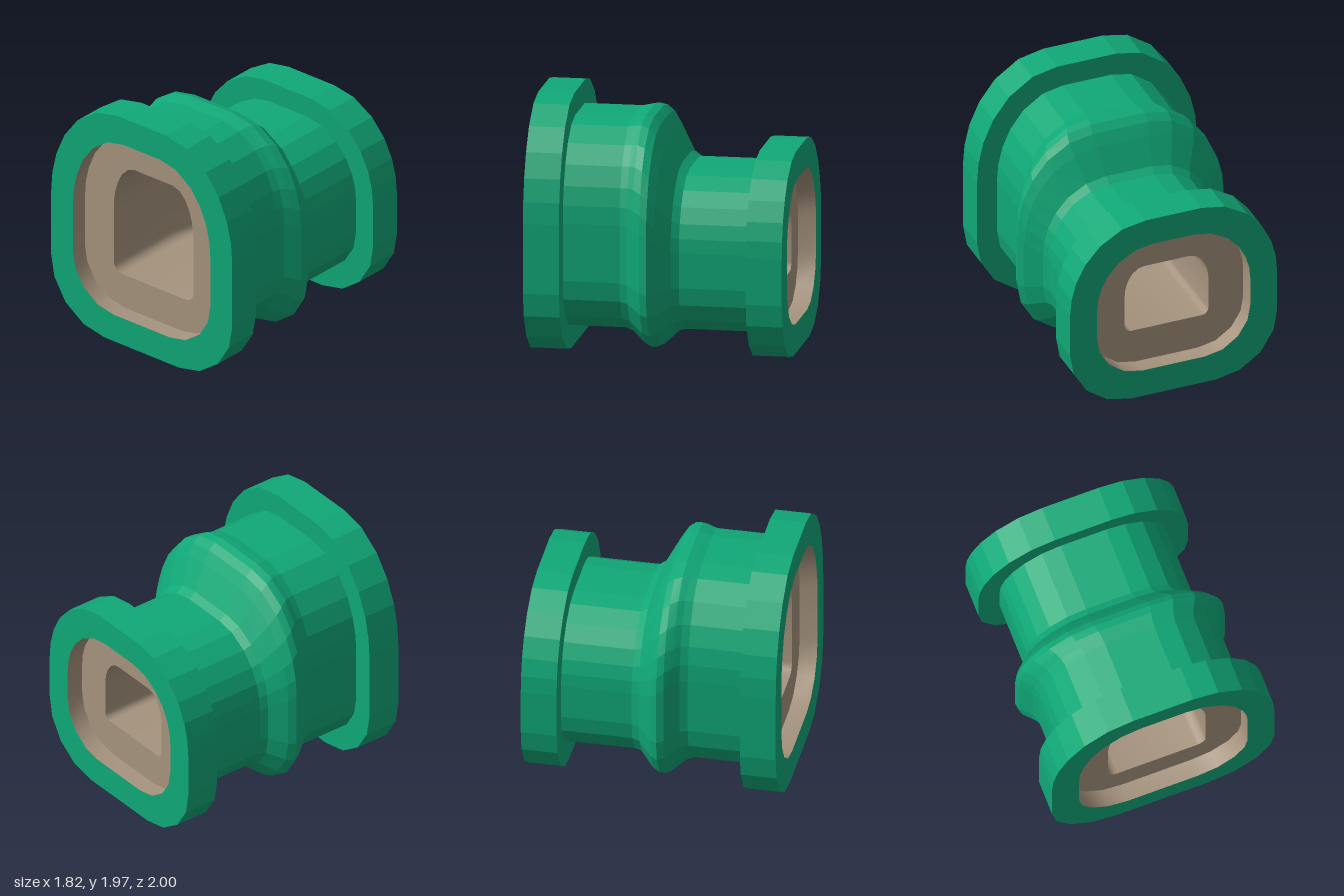
import * as THREE from 'three';
import { toCreasedNormals } from 'three/addons/utils/BufferGeometryUtils.js';

const TOP_ANGLES = [90, 79, 67, 53, 37, 18, 0];
const BOTTOM_ANGLES = [0, 23, 47, 70, 90];

// Counter-clockwise rounded outline: big elliptical top corners, smaller bottom ones
function outline(z, w, bottom, top, corners = {}) {
  const { tx = 0.73 * w, ty = 0.45 * (top - bottom), bx = 0.59 * w, by = 0.59 * w } = corners;
  const half = [];
  for (const a of BOTTOM_ANGLES) {
    const t = THREE.MathUtils.degToRad(a);
    half.push([w - bx + bx * Math.sin(t), bottom + by - by * Math.cos(t)]);
  }
  for (const a of TOP_ANGLES) {
    const t = THREE.MathUtils.degToRad(90 - a);
    half.push([w - tx + tx * Math.cos(t), top - ty + ty * Math.sin(t)]);
  }
  const mirrored = half.map(([x, y]) => [-x, y]).reverse();
  return [...half, ...mirrored].map(([x, y]) => [x, y, z]);
}

// Skin between successive outlines; crease 0 keeps every facet flat
function loft(name, sections, material, crease = 0) {
  const positions = [];
  const n = sections[0].length;
  for (let k = 0; k < sections.length - 1; k++) {
    for (let i = 0; i < n; i++) {
      const j = (i + 1) % n;
      const a = sections[k][i], b = sections[k + 1][i];
      const c = sections[k + 1][j], d = sections[k][j];
      positions.push(...a, ...b, ...c, ...a, ...c, ...d);
    }
  }
  let geometry = new THREE.BufferGeometry();
  geometry.setAttribute('position', new THREE.Float32BufferAttribute(positions, 3));
  geometry.computeVertexNormals();
  if (crease) geometry = toCreasedNormals(geometry, crease);
  const mesh = new THREE.Mesh(geometry, material);
  mesh.name = name;
  return mesh;
}

export function createModel() {
  const green = new THREE.MeshStandardMaterial({ color: 0x10a877 });
  green.name = 'green casing';
  const tan = new THREE.MeshStandardMaterial({ color: 0xa6947e });
  tan.name = 'tan lining';

  const group = new THREE.Group();
  group.name = 'tunnelFitting';

  const frontBody = (z) => outline(z, 0.745, 0.17, 1.79);
  const backBody = (z) => outline(z, 0.685, 0.17, 1.41);
  const frontMouth = (z) => outline(z, 0.69, 0.23, 1.74);
  const backMouth = (z) => outline(z, 0.635, 0.23, 1.355);
  const frontRim = (z) => outline(z, 0.91, 0, 1.97);
  const backRim = (z) => outline(z, 0.857, 0, 1.58);

  // End flanges
  group.add(loft('frontFlange',
    [frontMouth(1), frontRim(1), frontRim(0.72), frontBody(0.72)], green));
  group.add(loft('backFlange',
    [backBody(-0.72), backRim(-0.72), backRim(-1), backMouth(-1)], green));

  // Casing with the swollen joint where the tall and low halves meet
  const joint = [
    // z, half width, bottom, top
    [0.22, 0.765, 0.15, 1.803],
    [0.17, 0.8, 0.11, 1.812],
    [0.11, 0.842, 0.058, 1.795],
    [0.055, 0.855, 0.033, 1.745],
    [0, 0.82, 0.055, 1.655],
    [-0.11, 0.71, 0.155, 1.45],
  ].map((s) => outline(...s));
  group.add(loft('casing',
    [frontBody(0.72), frontBody(0.28), ...joint, backBody(-0.17), backBody(-0.72)], green));

  // Recessed mouths
  const mix = THREE.MathUtils.lerp;
  const bore = (z) => {
    const t = 1 - THREE.MathUtils.smoothstep(z, -0.22, 0.3);
    return outline(z, mix(0.4, 0.347, t), 0.515, mix(1.46, 1.075, t), {
      tx: mix(0.21, 0.16, t), ty: mix(0.4, 0.24, t), bx: mix(0.08, 0.055, t), by: mix(0.08, 0.055, t),
    });
  };
  group.add(loft('frontRecess', [bore(0.86), frontMouth(0.86), frontMouth(1)], tan, 0.5));
  group.add(loft('backRecess', [backMouth(-1), backMouth(-0.86), bore(-0.86)], tan, 0.5));

  // Bore with a ceiling that eases down towards the back
  const boreSections = [bore(-0.86)];
  for (let i = 0; i <= 12; i++) boreSections.push(bore(mix(-0.22, 0.3, i / 12)));
  boreSections.push(bore(0.86));
  group.add(loft('bore', boreSections, tan, 0.7));

  return group;
}
